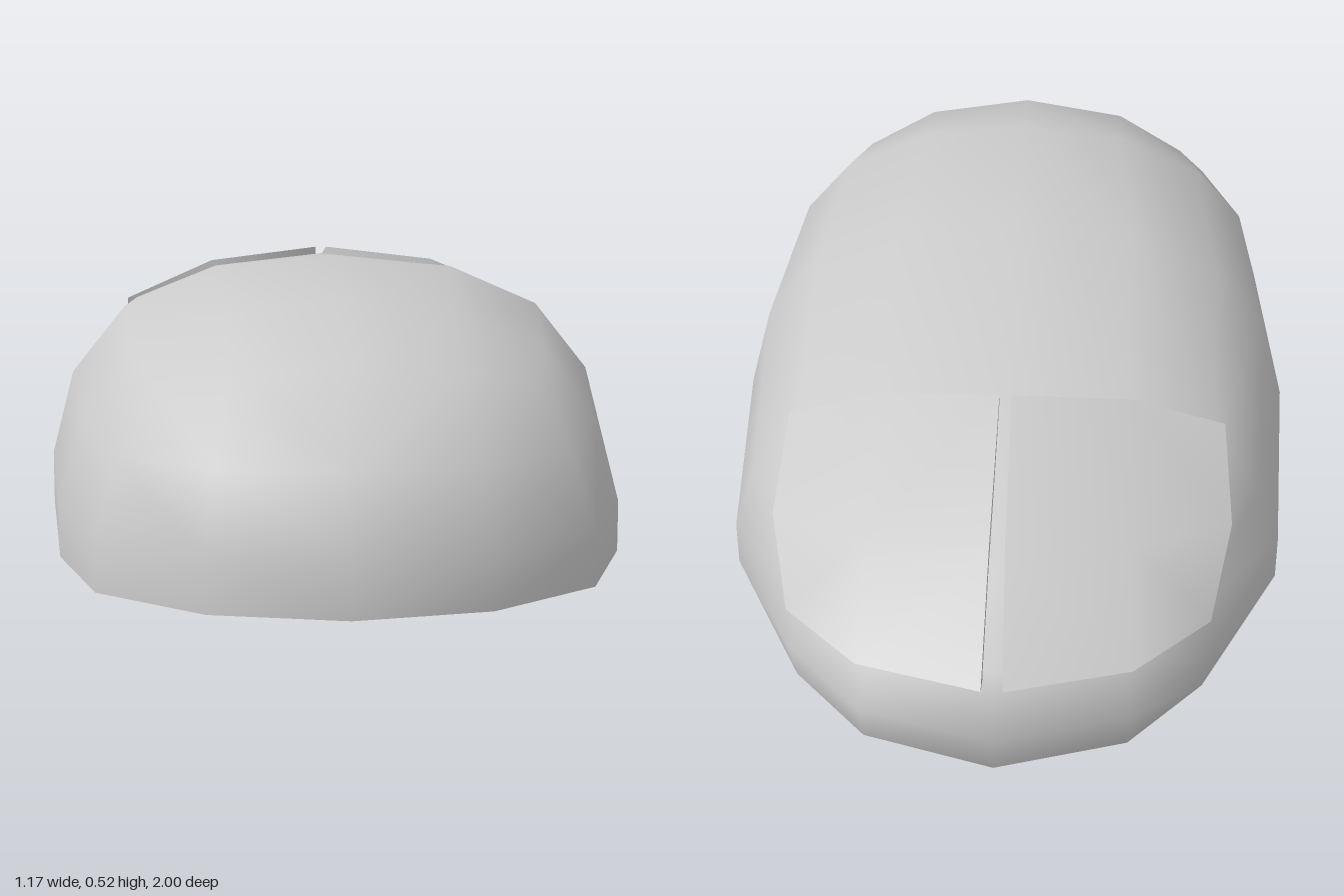
import * as THREE from 'three';
import { mergeVertices, mergeGeometries } from 'three/addons/utils/BufferGeometryUtils.js';

const material = new THREE.MeshStandardMaterial({ color: 0xcccccc, side: THREE.DoubleSide });

// Triangles for a grid of points; rows and columns run so the outside faces out.
function gridTriangles(rows, out = []) {
  for (let r = 0; r + 1 < rows.length; r++) {
    for (let c = 0; c + 1 < rows[r].length; c++) {
      const a = rows[r][c], b = rows[r][c + 1], d = rows[r + 1][c + 1], e = rows[r + 1][c];
      out.push([a, b, d], [a, d, e]);
    }
  }
  return out;
}

const mirrorTriangles = (tris) => tris.map((t) => t.map(([x, y, z]) => [-x, y, z]).reverse());

// Shared points are welded, which gives smooth normals.
function smoothGeometry(tris) {
  const g = new THREE.BufferGeometry();
  g.setAttribute('position', new THREE.Float32BufferAttribute(tris.flat(2), 3));
  const welded = mergeVertices(g, 1e-4);
  welded.computeVertexNormals();
  return welded;
}

function addMesh(group, name, geometry) {
  const mesh = new THREE.Mesh(geometry, material);
  mesh.name = name;
  group.add(mesh);
  return mesh;
}

// Edge of a three-column grid, from the centre line round the outer side.
const outerEdge = (g) => [
  ...g[0], ...g.slice(1, -1).map((row) => row[row.length - 1]), ...[...g[g.length - 1]].reverse(),
];

function createBody(group) {
  // Upper surface, one half: rows run from front to back, columns from the centre out
  const top = [
    [[0, 0.42, 0.80], [0.22, 0.40, 0.77], [0.36, 0.37, 0.67]],
    [[0, 0.50, 0.55], [0.22, 0.475, 0.55], [0.40, 0.40, 0.53]],
    [[0, 0.525, 0.12], [0.25, 0.50, 0.12], [0.43, 0.42, 0.12]],
    [[0, 0.45, -0.40], [0.24, 0.425, -0.39], [0.42, 0.355, -0.38]],
    [[0, 0.34, -0.77], [0.21, 0.32, -0.73], [0.35, 0.27, -0.64]],
  ];
  // Side rings, from the shoulder down to the base
  const shoulder = [
    [0, 0.26, 0.95], [0.24, 0.255, 0.91], [0.42, 0.25, 0.77], [0.50, 0.27, 0.55], [0.54, 0.28, 0.11],
    [0.515, 0.25, -0.40], [0.39, 0.20, -0.71], [0.24, 0.215, -0.87], [0, 0.23, -0.94],
  ];
  const belly = [
    [0, 0.11, 1], [0.26, 0.105, 0.95], [0.465, 0.10, 0.80], [0.545, 0.10, 0.55], [0.585, 0.105, 0.10],
    [0.56, 0.10, -0.39], [0.41, 0.10, -0.75], [0.26, 0.105, -0.92], [0, 0.11, -1],
  ];
  const base = belly.map(([x, , z]) => [x * (z < -0.7 ? 0.98 : 1), 0, z < -0.7 ? z * 0.96 : z]);

  const half = gridTriangles(top);
  gridTriangles([base, belly, shoulder, outerEdge(top)], half);
  addMesh(group, 'body', smoothGeometry([...half, ...mirrorTriangles(half)]));

  // Flat underside
  const left = base.map(([x, , z]) => new THREE.Vector2(x, z));
  const right = base.slice(1, -1).reverse().map(([x, , z]) => new THREE.Vector2(-x, z));
  const underside = new THREE.ShapeGeometry(new THREE.Shape([...left, ...right]));
  underside.rotateX(Math.PI / 2);
  addMesh(group, 'underside', underside);
}

function createButtons(group) {
  // Button plate: rows run towards the tip, columns from the centre gap out
  const plate = [
    [[0.012, 0.465, -0.40], [0.25, 0.44, -0.37], [0.44, 0.36, -0.34]],
    [[0.015, 0.39, -0.77], [0.25, 0.37, -0.74], [0.45, 0.30, -0.58]],
    [[0.02, 0.24, -1], [0.26, 0.23, -0.925], [0.41, 0.20, -0.75]],
  ];
  // Turned-in rim closing the plate onto the body
  const edge = [...outerEdge(plate), plate[1][0], plate[0][0]];
  const rim = edge.map(([x, y, z]) => [
    x < 0.03 ? x : x * 0.93, y - 0.03, z < -0.7 ? z + 0.06 : z,
  ]);
  const plateTris = gridTriangles(plate);
  const rimTris = gridTriangles([rim, edge]);
  for (const [name, flip] of [['leftButton', (t) => t], ['rightButton', mirrorTriangles]]) {
    const parts = [plateTris, rimTris].map((t) => smoothGeometry(flip(t)));
    addMesh(group, name, mergeGeometries(parts));
  }
}

export function createModel() {
  const group = new THREE.Group();
  group.name = 'computerMouse';
  createBody(group);
  createButtons(group);
  return group;
}
